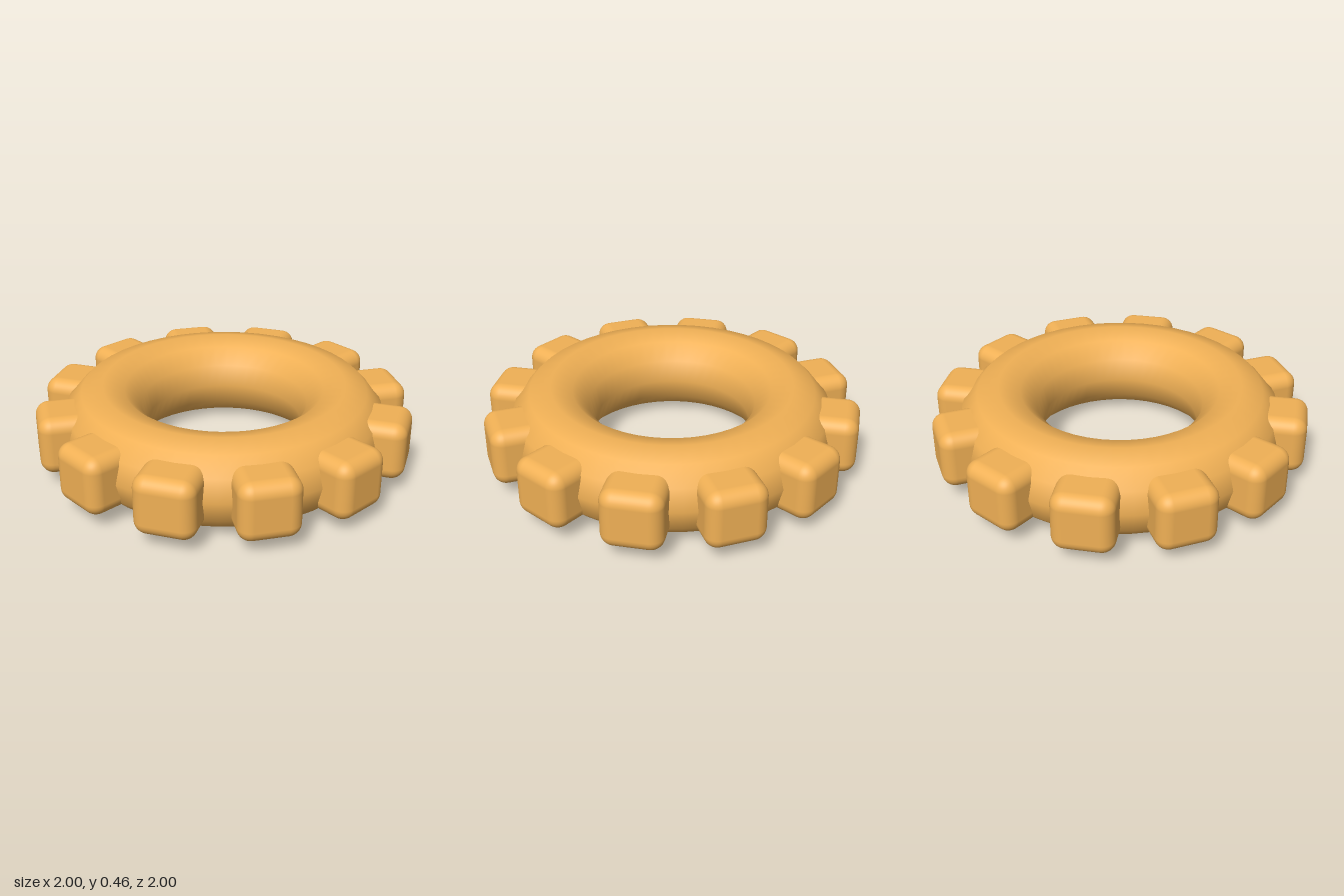
import * as THREE from 'three';
import { RoundedBoxGeometry } from 'three/addons/geometries/RoundedBoxGeometry.js';

export function createModel() {
  const model = new THREE.Group();
  model.name = 'studdedRing';
  const material = new THREE.MeshStandardMaterial({ color: 0xf0b055 });
  const centreY = 0.232;

  // Ring lying flat
  const ringGeometry = new THREE.TorusGeometry(0.645, 0.23, 12, 48);
  ringGeometry.rotateX(-Math.PI / 2);
  const ring = new THREE.Mesh(ringGeometry, material);
  ring.name = 'ring';
  ring.position.y = centreY;
  model.add(ring);

  // Rounded blocks spaced evenly around the rim, their outer faces at radius 1
  const count = 12, size = 0.315, depth = 0.29;
  const blockGeometry = new RoundedBoxGeometry(size, size, depth, 5, 0.07);
  blockGeometry.translate(0, 0, 1 - depth / 2);
  for (let i = 0; i < count; i++) {
    const block = new THREE.Mesh(blockGeometry, material);
    block.name = `treadBlock${i + 1}`;
    block.position.y = centreY + 0.003;
    block.rotation.y = (i / count) * Math.PI * 2;
    model.add(block);
  }
  return model;
}
